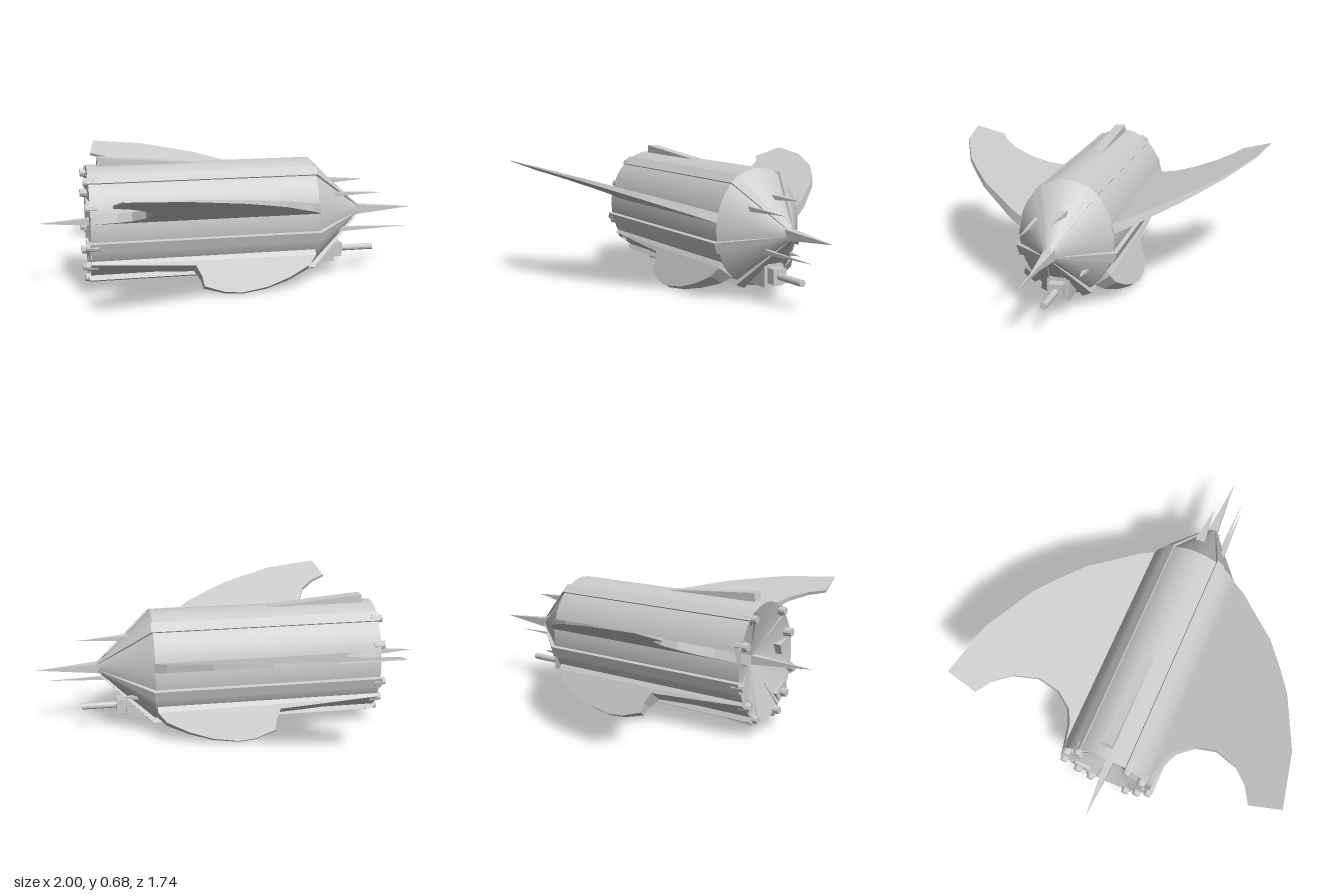
import * as THREE from 'three';

const AXIS = 0.35, RY = 0.29, RZ = 0.24; // hull axis height and elliptical radii
const REAR = -0.75, FRONT = 0.41, APEX = 0.71, RECESS = -0.66;

const smooth = new THREE.MeshStandardMaterial({ color: 0xcccccc });
const flat = new THREE.MeshStandardMaterial({ color: 0xcccccc, flatShading: true });

// Closed solid through equal-sized rings of [x, y, z] points, always facing outwards
function loft(rings) {
  const tris = [];
  const n = rings[0].length;
  for (let i = 0; i < rings.length - 1; i++) {
    for (let j = 0; j < n; j++) {
      const k = (j + 1) % n;
      const a = rings[i][j], b = rings[i][k], c = rings[i + 1][k], d = rings[i + 1][j];
      tris.push([a, b, c], [a, c, d]);
    }
  }
  const first = rings[0], last = rings[rings.length - 1];
  for (let j = 1; j < n - 1; j++) {
    tris.push([first[0], first[j + 1], first[j]], [last[0], last[j], last[j + 1]]);
  }
  let volume = 0;
  for (const [a, b, c] of tris) {
    volume += a[0] * (b[1] * c[2] - b[2] * c[1]) + a[1] * (b[2] * c[0] - b[0] * c[2])
      + a[2] * (b[0] * c[1] - b[1] * c[0]);
  }
  if (volume < 0) tris.forEach((t) => t.reverse());
  const geo = new THREE.BufferGeometry();
  geo.setAttribute('position', new THREE.Float32BufferAttribute(tris.flat(2), 3));
  geo.computeVertexNormals();
  return geo;
}

// Tapered plate: each pair holds leading and trailing [x, v]; at(v) gives its place and thickness
function plate(pairs, at, side) {
  const corner = ([x, v], s) => {
    const { y, z, ny, nz, half } = at(v);
    return [x, y + s * ny * half, side * (z + s * nz * half)];
  };
  return loft(pairs.map(([lead, trail]) =>
    [corner(lead, 1), corner(lead, -1), corner(trail, -1), corner(trail, 1)]));
}

export function createModel() {
  const group = new THREE.Group();
  const add = (name, geo, mat = flat) => {
    const mesh = new THREE.Mesh(geo, mat);
    mesh.name = name;
    group.add(mesh);
    return mesh;
  };

  // Hull, nose cone and recessed stern, all turned about the x axis
  const turned = (name, profile) => {
    const geo = new THREE.LatheGeometry(profile.map(([r, x]) => new THREE.Vector2(r, x)), 40);
    geo.rotateZ(-Math.PI / 2).scale(1, RY, RZ).translate(0, AXIS, 0);
    add(name, geo, smooth);
  };
  turned('hull', [[1, REAR], [1, FRONT]]);
  turned('noseCone', [[1, FRONT], [0, APEX]]);
  turned('sternRecess', [[0, RECESS], [1, REAR]]);

  // Six ribs running along the hull and converging at both ends
  const ribEdges = [
    [[0.614, 0.12], [0.577, 0.158]],
    [[0.293, 0.256], [0.24, 0.24]],
    [[0.075, 0.13], [0.056, 0.084]],
  ];
  const stations = [[RECESS, 0.06], [REAR - 0.005, 1], [FRONT + 0.008, 1], [APEX, 0.04]];
  for (const side of [1, -1]) {
    ribEdges.forEach(([a, b]) => {
      const section = [[a, 1], [b, 1], [b, 0.88], [a, 0.88]];
      add('rib', loft(stations.map(([x, s]) => section.map(([[y, z], k]) =>
        [x, AXIS + (y - AXIS) * k * s, side * z * k * s]))));
      // Small thruster nub at the rear end of each rib
      const y = AXIS + ((a[0] + b[0]) / 2 - AXIS) * 0.93;
      const z = side * (a[1] + b[1]) / 2 * 0.93;
      const nub = new THREE.CylinderGeometry(0.024, 0.018, 0.06, 10).rotateZ(-Math.PI / 2);
      add('thrusterNub', nub.translate(REAR + 0.005, y, z));
    });
    for (const [y, z] of [[0.46, 0.2], [0.16, 0.165]]) {
      const nub = new THREE.CylinderGeometry(0.026, 0.02, 0.06, 10).rotateZ(-Math.PI / 2);
      add('thrusterNub', nub.translate(REAR + 0.005, y, side * z));
    }

    // Large swept wing with a scooped trailing edge, given as [x, z]
    const wing = [
      [[0.40, 0.14], [-0.75, 0.14]],
      [[0.415, 0.235], [-0.745, 0.23]],
      [[0.36, 0.31], [-0.623, 0.257]],
      [[0.30, 0.37], [-0.553, 0.29]],
      [[0.163, 0.513], [-0.495, 0.37]],
      [[0.03, 0.61], [-0.48, 0.476]],
      [[-0.09, 0.69], [-0.527, 0.594]],
      [[-0.37, 0.815], [-0.60, 0.67]],
      [[-0.65, 0.87], [-0.68, 0.715]],
    ];
    add('wing', plate(wing, (z) => ({
      y: 0.413 + (z - 0.235) * 0.345, z, ny: 0.945, nz: -0.326,
      half: 0.025 - 0.023 * (z - 0.2) / 0.67,
    }), side));

    // Lower fin, given as [x, y]
    const fin = [
      [[0.40, 0.19], [-0.75, 0.19]],
      [[0.40, 0.14], [-0.75, 0.15]],
      [[0.36, 0.10], [-0.23, 0.125]],
      [[0.25, 0.055], [-0.203, 0.08]],
      [[0.13, 0.022], [-0.195, 0.04]],
      [[0.0, 0.006], [-0.09, 0.012]],
    ];
    add('lowerFin', plate(fin, (y) => ({
      y, z: 0.277 - (y - 0.006) * 0.72, ny: 0.58, nz: 0.81,
      half: 0.008 + 0.039 * Math.min(1, y / 0.14),
    }), side));

    // Wedge fins above and below the rear of the hull
    const wedge = new THREE.Shape([[-0.2, 0.27], [-0.2, 0.29], [-0.69, 0.33], [-0.7, 0.27]]
      .map(([x, y]) => new THREE.Vector2(x, y)));
    const geo = new THREE.ExtrudeGeometry(wedge, { depth: 0.056, bevelEnabled: false });
    geo.translate(0, 0, -0.028);
    if (side < 0) geo.rotateX(Math.PI);
    add(side > 0 ? 'topWedge' : 'bottomWedge', geo.translate(0, AXIS, 0));
  }

  // Four-sided spikes along x: base x, tip x, y, z, half height, half width
  const spike = (name, x0, x1, y, z, h, w) => {
    const geo = new THREE.ConeGeometry(Math.SQRT2, Math.abs(x1 - x0), 4).rotateY(Math.PI / 4);
    geo.rotateZ(x1 > x0 ? -Math.PI / 2 : Math.PI / 2);
    add(name, geo.scale(1, h, w).translate((x0 + x1) / 2, y, z));
  };
  spike('noseSpike', 0.64, 1.0, AXIS, 0, 0.028, 0.028);
  spike('sternSpike', -0.68, -1.0, AXIS, 0, 0.022, 0.022);
  spike('antenna', 0.53, 0.73, 0.51, -0.02, 0.012, 0.025);
  spike('antenna', 0.51, 0.80, 0.46, 0.112, 0.012, 0.012);
  spike('antenna', 0.56, 0.95, 0.262, 0.072, 0.012, 0.012);
  spike('antenna', 0.46, 0.60, 0.222, -0.12, 0.013, 0.02);

  // Chin gun: mount, breech and barrel
  const box = (name, x0, x1, y, h, w) =>
    add(name, new THREE.BoxGeometry(x1 - x0, h, w).translate((x0 + x1) / 2, y, 0));
  box('gunMount', 0.42, 0.55, 0.135, 0.11, 0.11);
  box('gunBreech', 0.55, 0.6, 0.137, 0.075, 0.075);
  add('gunBarrel', new THREE.CylinderGeometry(0.017, 0.017, 0.2, 12)
    .rotateZ(-Math.PI / 2).translate(0.68, 0.137, 0), flat);

  return group;
}
